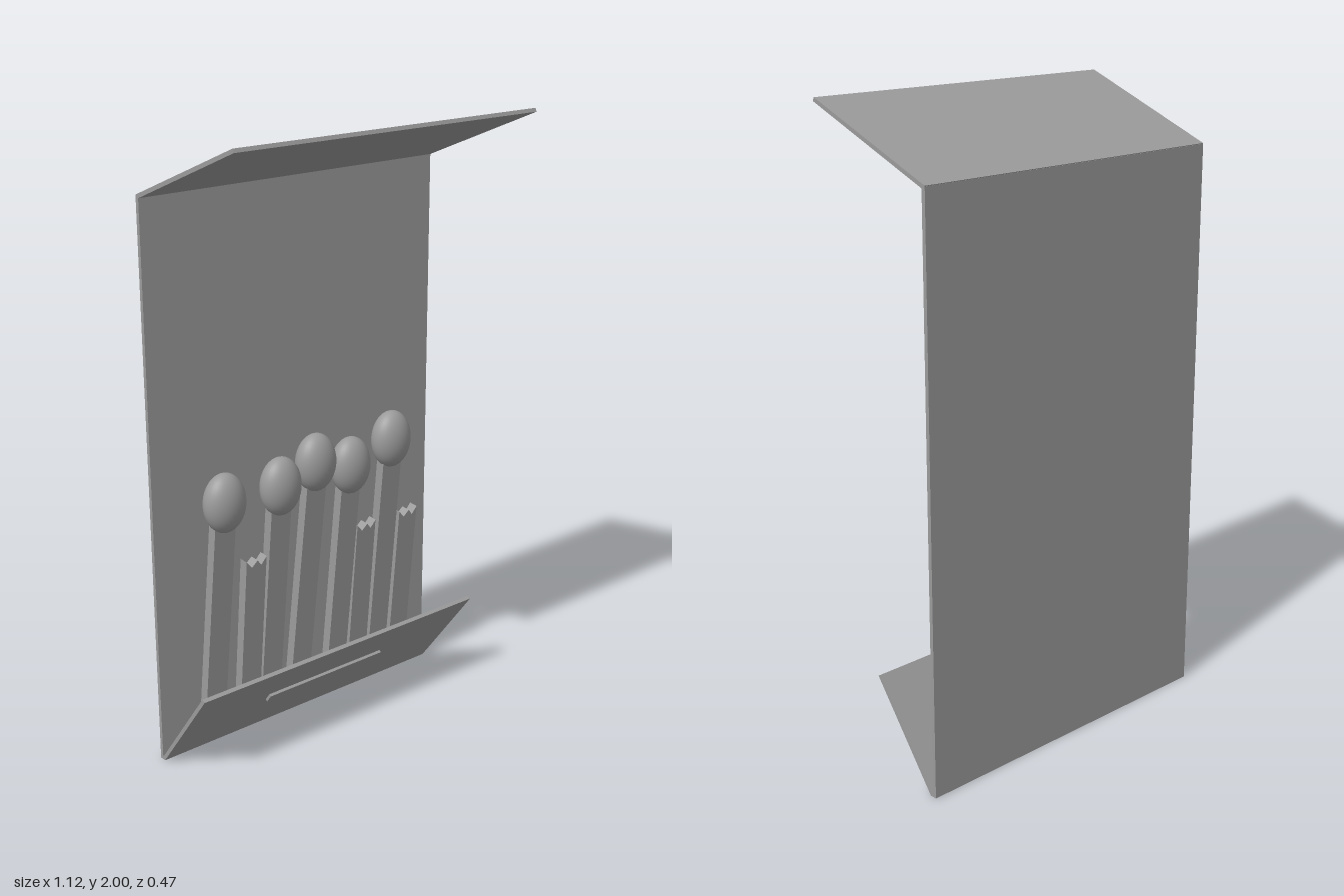
import * as THREE from 'three';

const grey = new THREE.MeshStandardMaterial({ color: 0x9b9b9b });

// Card strip: a side profile of [z, y] points swept along x
function strip(name, points, width) {
  const shape = new THREE.Shape(points.map(([z, y]) => new THREE.Vector2(z, y)));
  const geo = new THREE.ExtrudeGeometry(shape, { depth: width, bevelEnabled: false });
  geo.translate(0, 0, -width / 2).rotateY(-Math.PI / 2);
  const mesh = new THREE.Mesh(geo, grey);
  mesh.name = name;
  return mesh;
}

// Flat stick standing on its base, optionally with a torn, jagged top
function stick(name, width, height, torn) {
  const w = width / 2;
  const s = new THREE.Shape();
  s.moveTo(-w, 0);
  s.lineTo(w, 0);
  s.lineTo(w, height);
  if (torn) {
    s.lineTo(w * 0.5, height - 0.025);
    s.lineTo(w * 0.1, height - 0.005);
    s.lineTo(-w * 0.45, height - 0.025);
  }
  s.lineTo(-w, height);
  const geo = new THREE.ExtrudeGeometry(s, { depth: 0.032, bevelEnabled: false });
  geo.translate(0, 0, -0.016);
  const mesh = new THREE.Mesh(geo, grey);
  mesh.name = name;
  return mesh;
}

export function createModel() {
  const group = new THREE.Group();
  group.name = 'matchbook';
  const width = 1.118;

  // Folded cover
  group.add(strip('backCover', [[-0.235, 0], [-0.222, 0], [-0.222, 1.81], [-0.235, 1.81]], width));
  group.add(strip('openLid', [[-0.235, 1.812], [-0.228, 1.801], [0.235, 1.989], [0.23, 2]], width));
  group.add(strip('frontFlap', [[-0.228, 0], [-0.212, 0], [0.02, 0.307], [0.009, 0.314]], width));

  // Raised striking strip on the outside of the flap
  const striker = new THREE.Mesh(new THREE.BoxGeometry(0.47, 0.034, 0.02), grey);
  striker.name = 'striker';
  striker.position.set(-0.008, 0.171, -0.084);
  striker.rotation.x = Math.atan2(0.232, 0.307);
  group.add(striker);

  // Whole matches: head x, head y, stick base x
  const matches = [
    [-0.369, 0.867, -0.385],
    [-0.154, 0.867, -0.16],
    [-0.013, 0.912, -0.04],
    [0.131, 0.867, 0.117],
    [0.305, 0.917, 0.3],
  ];
  const tilt = 0.092;
  const baseY = 0.052;
  const baseZ = -0.194;
  const headGeo = new THREE.SphereGeometry(1, 32, 20).scale(0.072, 0.096, 0.055);
  for (const [x, y, baseX] of matches) {
    const match = new THREE.Group();
    match.name = 'match';
    const body = stick('matchStick', 0.078, y - baseY - 0.03, false);
    body.position.set(baseX, baseY, baseZ);
    body.rotation.set(tilt, 0, (baseX - x) / (y - baseY));
    const head = new THREE.Mesh(headGeo, grey);
    head.name = 'matchHead';
    head.position.set(x, y, -0.114);
    match.add(body, head);
    group.add(match);
  }

  // Torn stubs of used matches
  for (const x of [-0.245, 0.21, 0.395]) {
    const stub = stick('tornStub', 0.078, 0.592, true);
    stub.position.set(x, baseY, baseZ);
    stub.rotation.x = tilt;
    group.add(stub);
  }
  return group;
}
